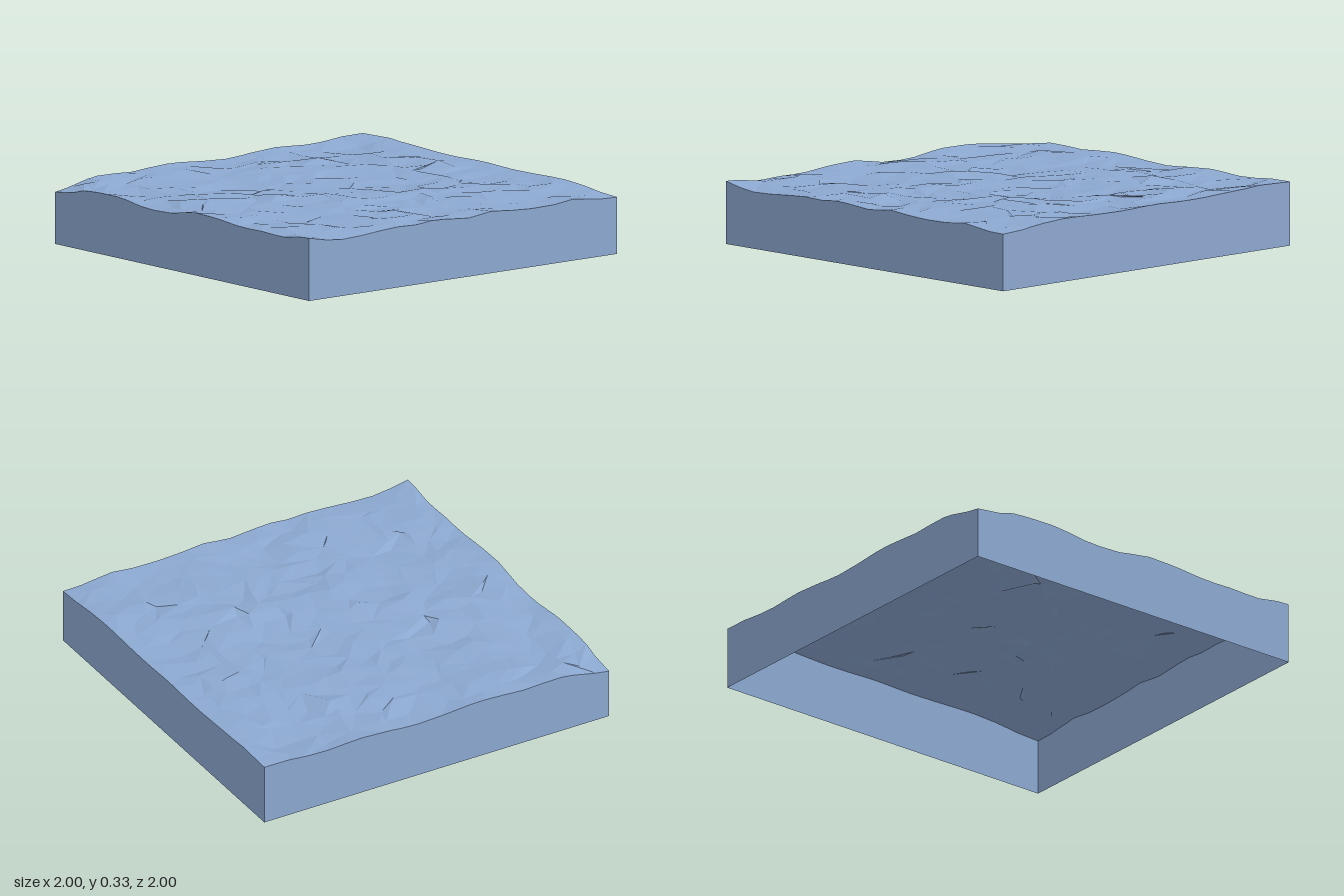
import * as THREE from 'three';

const N = 20; // cells per side

// Rim heights at even steps from -1 to 1
const RIM = {
  front: [0.265, 0.272, 0.302, 0.31, 0.312, 0.312, 0.302, 0.287, 0.285, 0.288, 0.305, 0.32, 0.318, 0.313, 0.303, 0.298, 0.302, 0.298, 0.296, 0.31, 0.32],
  right: [0.29, 0.292, 0.305, 0.315, 0.3, 0.298, 0.298, 0.305, 0.318, 0.305, 0.295, 0.31, 0.315, 0.305, 0.31, 0.305, 0.298, 0.29, 0.288, 0.3, 0.32],
  back: [0.325, 0.33, 0.332, 0.325, 0.322, 0.318, 0.314, 0.312, 0.314, 0.318, 0.318, 0.314, 0.312, 0.314, 0.316, 0.32, 0.32, 0.315, 0.305, 0.295, 0.29],
  left: [0.325, 0.328, 0.318, 0.31, 0.31, 0.318, 0.322, 0.315, 0.305, 0.3, 0.305, 0.312, 0.32, 0.322, 0.315, 0.308, 0.312, 0.318, 0.305, 0.28, 0.265],
};

// Single crests: x, z, extra height
const CRESTS = [[0.02, 0.36, 0.03], [-0.9, 0.82, 0.022], [-0.9, -0.9, 0.012], [-0.22, -0.78, 0.018], [-0.62, -0.4, 0.016], [0.7, 0.15, 0.018], [0.35, 0.3, 0.012]];

function seeded(seed) {
  return () => {
    seed = (seed * 1664525 + 1013904223) % 4294967296;
    return seed / 4294967296;
  };
}

function sample(profile, t) {
  const f = (THREE.MathUtils.clamp(t, -1, 1) + 1) / 2 * (profile.length - 1);
  const i = Math.min(Math.floor(f), profile.length - 2);
  return THREE.MathUtils.lerp(profile[i], profile[i + 1], f - i);
}

function waveHeight(x, z, noise) {
  let y = 0.304 + 0.006 * Math.sin(7 * x + 3 * z) + 0.005 * Math.sin(9 * z - 4 * x + 1) + 0.009 * (noise - 0.5) * 2;
  for (const [cx, cz, h] of CRESTS) y += h * Math.exp(-((x - cx) ** 2 + (z - cz) ** 2) / 0.006);
  // Settle towards the rim profiles near the sides
  const rims = [[1 - z, RIM.front, x], [1 + z, RIM.back, x], [1 - x, RIM.right, z], [1 + x, RIM.left, z]];
  for (const [d, profile, t] of rims) y = THREE.MathUtils.lerp(y, sample(profile, t), Math.max(0, 1 - d / 0.16));
  return Math.min(y, 0.342);
}

function buildGeometry(positions, indices) {
  const geometry = new THREE.BufferGeometry();
  geometry.setAttribute('position', new THREE.Float32BufferAttribute(positions, 3));
  geometry.setIndex(indices);
  geometry.computeVertexNormals();
  return geometry;
}

export function createModel() {
  const model = new THREE.Group();
  model.name = 'waterBlock';
  const material = new THREE.MeshStandardMaterial({ color: 0x8ca8d0, flatShading: true, side: THREE.DoubleSide });
  const random = seeded(17);

  // Choppy surface: jittered grid whose border stays straight
  const points = [];
  const indices = [];
  for (let j = 0; j <= N; j++) {
    for (let i = 0; i <= N; i++) {
      const dx = (random() - 0.5) * 0.08, dz = (random() - 0.5) * 0.08, noise = random();
      const x = -1 + 2 * i / N + (i % N ? dx : 0);
      const z = -1 + 2 * j / N + (j % N ? dz : 0);
      points.push(new THREE.Vector3(x, waveHeight(x, z, noise), z));
    }
  }
  for (let j = 0; j < N; j++) {
    for (let i = 0; i < N; i++) {
      const a = j * (N + 1) + i, b = a + 1, c = a + N + 1, d = c + 1;
      if (random() < 0.5) indices.push(a, c, b, b, c, d);
      else indices.push(a, c, d, a, d, b);
    }
  }
  const surface = new THREE.Mesh(buildGeometry(points.flatMap((p) => p.toArray()), indices), material);
  surface.name = 'waterSurface';
  model.add(surface);

  // Four walls hang from the surface border; the underside is open
  const at = (i, j) => points[j * (N + 1) + i];
  const sides = {
    frontWall: (k) => at(k, N),
    rightWall: (k) => at(N, N - k),
    backWall: (k) => at(N - k, 0),
    leftWall: (k) => at(0, k),
  };
  for (const [name, border] of Object.entries(sides)) {
    const positions = [], faces = [];
    for (let k = 0; k <= N; k++) {
      const p = border(k);
      positions.push(p.x, 0, p.z, p.x, p.y, p.z);
      if (k < N) faces.push(2 * k, 2 * k + 2, 2 * k + 1, 2 * k + 1, 2 * k + 2, 2 * k + 3);
    }
    const wall = new THREE.Mesh(buildGeometry(positions, faces), material);
    wall.name = name;
    model.add(wall);
  }
  return model;
}
